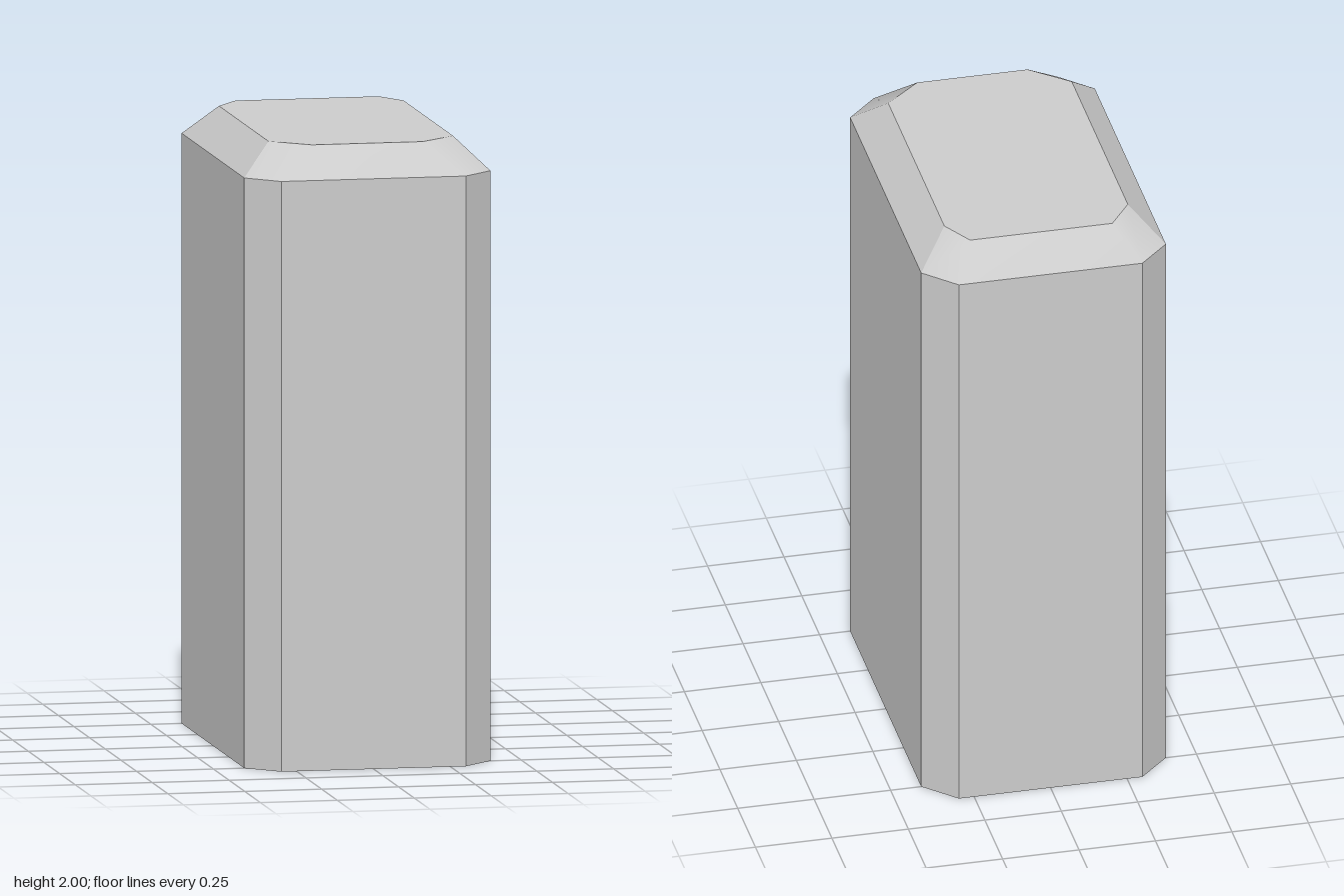
import * as THREE from 'three';
import { mergeGeometries } from 'three/addons/utils/BufferGeometryUtils.js';

// Octagonal outlines [x, z], counter-clockwise seen from above
const outer = [[0.4, 0.5], [0.4, -0.5], [0.3, -0.6], [-0.3, -0.6],
  [-0.4, -0.5], [-0.4, 0.5], [-0.3, 0.6], [0.3, 0.6]];
const inner = [[0.3, 0.395], [0.3, -0.395], [0.24, -0.5], [-0.225, -0.5],
  [-0.3, -0.395], [-0.3, 0.395], [-0.18, 0.5], [0.18, 0.5]];

const ring = (outline, y) => outline.map(([x, z]) => [x, y, z]);

function indexed(points, index) {
  const g = new THREE.BufferGeometry();
  g.setAttribute('position', new THREE.Float32BufferAttribute(points.flat(), 3));
  g.setIndex(index);
  g.computeVertexNormals();
  return g;
}

// Band of quads between two rings, smooth within itself
function band(low, high, start, count) {
  const points = [], index = [];
  for (let i = 0; i <= count; i++) {
    const k = (start + i) % low.length;
    points.push(low[k], high[k]);
    if (i < count) {
      const a = i * 2;
      index.push(a, a + 2, a + 3, a, a + 3, a + 1);
    }
  }
  return indexed(points, index);
}

// Flat fan closing a ring
function cap(points) {
  const index = [];
  for (let i = 1; i < points.length - 1; i++) index.push(0, i, i + 1);
  return indexed(points, index);
}

export function createModel() {
  const group = new THREE.Group();
  group.name = 'bevelledBlock';
  const material = new THREE.MeshStandardMaterial({ color: 0xcccccc });
  const add = (name, parts) => {
    const mesh = new THREE.Mesh(mergeGeometries(parts), material);
    mesh.name = name;
    group.add(mesh);
  };

  const foot = ring(outer, 0), shoulder = ring(outer, 1.9), rim = ring(inner, 2);

  // Upright body: eight flat walls and the underside
  add('body', [...foot.map((_, i) => band(foot, shoulder, i, 1)), cap([...foot].reverse())]);

  // Sloped top edge: flat long sides, softly shaded ends
  add('topBevel', [[0, 1], [1, 3], [4, 1], [5, 3]].map(([s, n]) => band(shoulder, rim, s, n)));

  // Flat top
  add('topFace', [cap(rim)]);

  return group;
}
